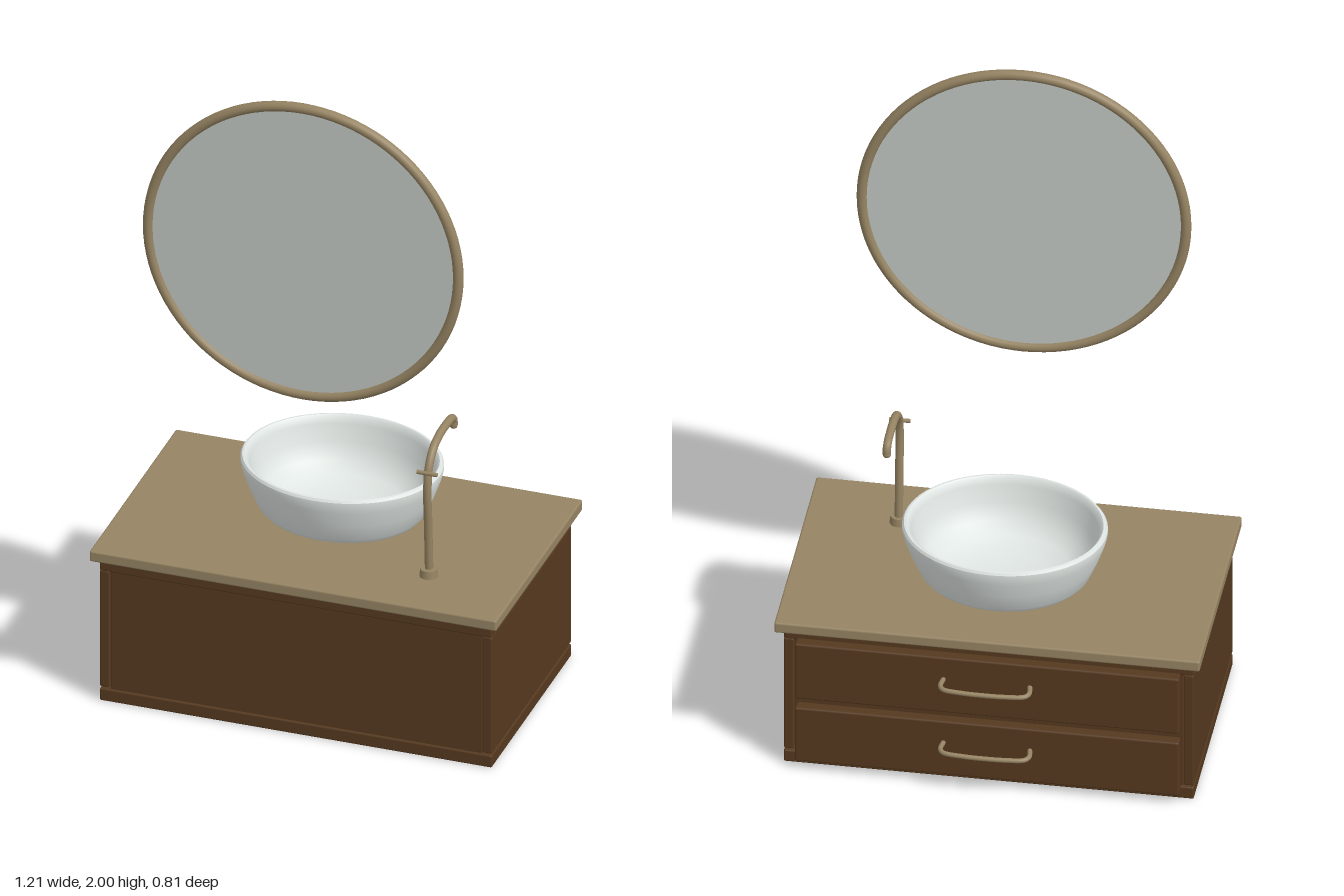
import * as THREE from 'three';
import { RoundedBoxGeometry } from 'three/addons/geometries/RoundedBoxGeometry.js';
import { toCreasedNormals } from 'three/addons/utils/BufferGeometryUtils.js';

export function createModel() {
  const model = new THREE.Group();
  model.name = 'bathroomVanity';

  const mat = (name, color, side = THREE.FrontSide) => {
    const m = new THREE.MeshStandardMaterial({ color, side });
    m.name = name;
    return m;
  };
  const wood = mat('darkWood', 0x55391f);
  const bronze = mat('brushedBronze', 0x968463);
  const ceramic = mat('whiteCeramic', 0xdfe5e2);
  const glass = mat('mirrorGlass', 0xc3c9c5, THREE.DoubleSide);

  const add = (name, geometry, material, parent = model) => {
    const mesh = new THREE.Mesh(geometry, material);
    mesh.name = name;
    parent.add(mesh);
    return mesh;
  };

  // Softly rounded box given by its extents on each axis
  const slab = (name, [x0, x1], [y0, y1], [z0, z1], material, radius = 0.005) => {
    const g = new RoundedBoxGeometry(x1 - x0, y1 - y0, z1 - z0, 2, radius);
    g.translate((x0 + x1) / 2, (y0 + y1) / 2, (z0 + z1) / 2);
    return add(name, g, material);
  };

  // Smooth tube through points, closed with round ends
  const rod = (name, pts, radius, material, segments = 48) => {
    const group = new THREE.Group();
    group.name = name;
    const points = pts.map((p) => new THREE.Vector3(...p));
    const curve = new THREE.CatmullRomCurve3(points, false, 'centripetal');
    add(name + 'Tube', new THREE.TubeGeometry(curve, segments, radius, 16), material, group);
    for (const p of [points[0], points[points.length - 1]]) {
      const cap = add(name + 'End', new THREE.SphereGeometry(radius, 16, 10), material, group);
      cap.position.copy(p);
      cap.scale.setScalar(0.99);
    }
    model.add(group);
    return group;
  };

  // Cabinet carcass
  const depth = [-0.302, 0.375];
  slab('cabinetBottom', [-0.583, 0.583], [0, 0.039], depth, wood);
  slab('cabinetTop', [-0.583, 0.583], [0.418, 0.453], depth, wood);
  for (const s of [-1, 1]) {
    const x = s < 0 ? [-0.583, -0.554] : [0.554, 0.583];
    slab(s < 0 ? 'rightSidePanel' : 'leftSidePanel', x, [0.045, 0.42], depth, wood);
  }
  slab('cabinetCore', [-0.552, 0.552], [0.03, 0.425], [-0.292, 0.368], wood, 0.003);

  // Two drawers with bowed pulls
  [['lower', 0.03, 0.21, 0.14], ['upper', 0.241, 0.427, 0.355]].forEach(([n, y0, y1, hy]) => {
    slab(n + 'DrawerFront', [-0.546, 0.546], [y0, y1], [-0.338, -0.302], wood, 0.006);
    const half = [[0.123, -0.338], [0.126, -0.372], [0.115, -0.389], [0.06, -0.398]];
    const pts = [
      ...half.map(([x, z]) => [-x, hy, z]),
      [0, hy, -0.4],
      ...half.slice().reverse().map(([x, z]) => [x, hy, z]),
    ];
    rod(n + 'DrawerHandle', pts, 0.007, bronze);
  });

  // Countertop
  slab('countertop', [-0.605, 0.605], [0.457, 0.491], [-0.335, 0.4], bronze, 0.006);

  // Oval basin: outside wall up, over the rim and down the inside
  const profile = [
    [0, 0.493], [0.13, 0.496], [0.19, 0.504], [0.228, 0.519], [0.243, 0.536],
    [0.266, 0.59], [0.284, 0.64], [0.29, 0.664], [0.29, 0.676], [0.285, 0.683],
    [0.278, 0.684], [0.271, 0.678], [0.265, 0.66], [0.25, 0.61], [0.226, 0.562],
    [0.185, 0.534], [0.12, 0.518], [0.06, 0.512], [0, 0.511],
  ].map(([x, y]) => new THREE.Vector2(x, y));
  const basin = add('basin', toCreasedNormals(new THREE.LatheGeometry(profile, 72), 0.55), ceramic);
  basin.scale.z = 0.862;
  basin.position.z = -0.02;

  // Tap: foot, curved spout and small cross lever
  const tapX = 0.34;
  const foot = add('tapFoot', new THREE.CylinderGeometry(0.024, 0.027, 0.025, 24), bronze);
  foot.position.set(tapX, 0.502, 0.215);
  rod('tapSpout', [
    [0.5, 0.212], [0.65, 0.22], [0.78, 0.227], [0.84, 0.214], [0.88, 0.178], [0.897, 0.125],
    [0.899, 0.07], [0.895, 0.025], [0.885, 0.008], [0.865, 0.005],
  ].map(([y, z]) => [tapX, y, z]), 0.012, bronze, 64);
  const lever = add('tapLever', new THREE.CylinderGeometry(0.006, 0.006, 0.06, 12), bronze);
  lever.rotation.z = Math.PI / 2;
  lever.position.set(tapX, 0.828, 0.23);

  // Round mirror
  const mirror = new THREE.Group();
  mirror.name = 'mirror';
  mirror.position.set(0, 1.524, 0.31);
  add('mirrorFrame', new THREE.TorusGeometry(0.461, 0.015, 16, 96), bronze, mirror);
  const pane = add('mirrorPane', new THREE.CylinderGeometry(0.456, 0.456, 0.008, 72), glass, mirror);
  pane.rotation.x = Math.PI / 2;
  model.add(mirror);

  return model;
}
